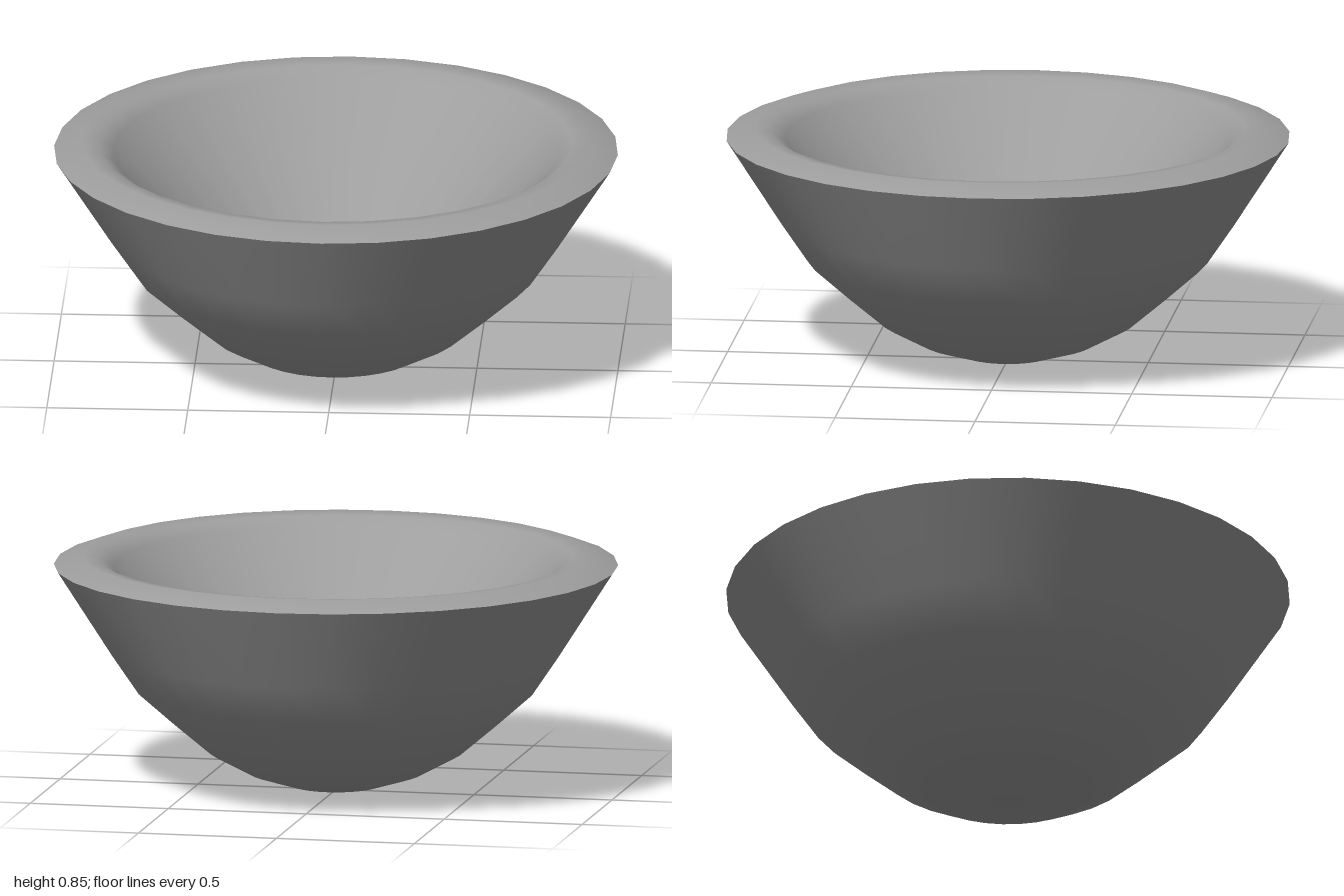
import * as THREE from 'three';

const SEGMENTS = 32;

export function createModel() {
  const model = new THREE.Group();
  model.name = 'bowl';
  const material = new THREE.MeshStandardMaterial({ color: 0x9e9e9e });

  // Each section is its own lathe, so edges between sections stay sharp.
  const addSection = (name, profile) => {
    const points = profile.map(([r, y]) => new THREE.Vector2(r, y));
    const mesh = new THREE.Mesh(new THREE.LatheGeometry(points, SEGMENTS), material);
    mesh.name = name;
    model.add(mesh);
  };

  // Rounded underside flaring into a straight outer wall
  addSection('outerShell', [
    [0, 0], [0.16, 0.018], [0.31, 0.065], [0.45, 0.14],
    [0.58, 0.25], [0.71, 0.365], [0.805, 0.505], [1, 0.81],
  ]);

  // Softly crowned rim running into the conical inner wall
  addSection('rimAndInnerWall', [
    [1, 0.81], [0.9, 0.845], [0.84, 0.836], [0.79, 0.805], [0.218, 0.21],
  ]);

  // Flat round floor inside
  addSection('innerFloor', [[0.218, 0.21], [0, 0.21]]);

  return model;
}
